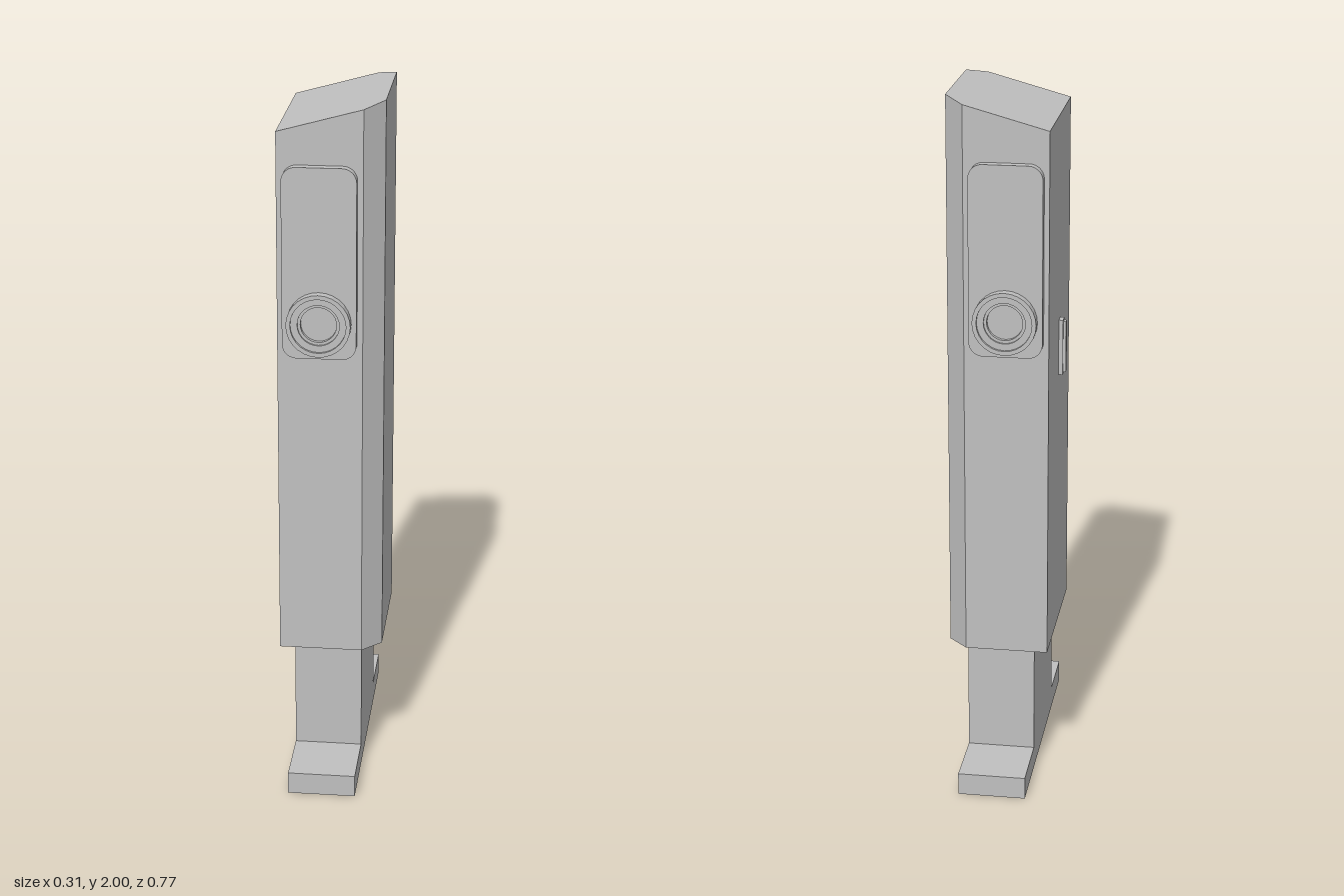
import * as THREE from 'three';

const grey = new THREE.MeshStandardMaterial({ color: 0xc0c0c0 });
grey.name = 'grey';

function mesh(name, geometry) {
  const m = new THREE.Mesh(geometry, grey);
  m.name = name;
  return m;
}

function faceted(geometry) {
  const g = geometry.index ? geometry.toNonIndexed() : geometry;
  g.computeVertexNormals();
  return g;
}

function polygon(points) {
  return new THREE.Shape(points.map(([x, y]) => new THREE.Vector2(x, y)));
}

function box(name, x0, x1, y0, y1, z0, z1) {
  const m = mesh(name, new THREE.BoxGeometry(x1 - x0, y1 - y0, z1 - z0));
  m.position.set((x0 + x1) / 2, (y0 + y1) / 2, (z0 + z1) / 2);
  return m;
}

// Tall housing with two chamfered corners and a sloping top
function housing() {
  const bottom = 0.39;
  const shape = polygon([
    [-0.137, -0.225], [0.1, -0.225], [0.155, -0.17],
    [0.155, 0.17], [0.1, 0.225], [-0.137, 0.225],
  ]);
  const g = new THREE.ExtrudeGeometry(shape, { depth: 1, bevelEnabled: false });
  g.rotateX(-Math.PI / 2);
  const p = g.attributes.position;
  for (let i = 0; i < p.count; i++) {
    const top = 2 - (0.155 - p.getX(i)) * 0.274;
    p.setY(i, p.getY(i) > 0.5 ? top : bottom);
  }
  return mesh('housing', faceted(g));
}

// Foot and stem share one inverted T profile
function stand() {
  const shape = polygon([
    [-0.387, 0], [0.387, 0], [0.387, 0.065], [0.197, 0.065],
    [0.197, 0.39], [-0.197, 0.39], [-0.197, 0.065], [-0.387, 0.065],
  ]);
  const g = new THREE.ExtrudeGeometry(shape, { depth: 0.194, bevelEnabled: false });
  g.rotateY(Math.PI / 2);
  g.translate(-0.096, 0, 0);
  return mesh('stand', g);
}

// Rounded plate with a stepped round socket, facing +z from z = 0
function socketPanel(name) {
  const group = new THREE.Group();
  group.name = name;
  const w = 0.1025, y0 = 1.29, y1 = 1.83, r = 0.04;
  const s = new THREE.Shape();
  s.absarc(w - r, y0 + r, r, -Math.PI / 2, 0);
  s.absarc(w - r, y1 - r, r, 0, Math.PI / 2);
  s.absarc(-w + r, y1 - r, r, Math.PI / 2, Math.PI);
  s.absarc(-w + r, y0 + r, r, Math.PI, Math.PI * 1.5);
  group.add(mesh('panelPlate', new THREE.ExtrudeGeometry(s, {
    depth: 0.026, bevelEnabled: false, curveSegments: 8,
  })));

  const profile = [
    [0.089, 0], [0.089, 0.027], [0.077, 0.027], [0.077, 0.019],
    [0.058, 0.019], [0.058, 0.013], [0.05, 0.013], [0.05, 0.001], [0, 0.001],
  ].map(([x, y]) => new THREE.Vector2(x, y));
  const ring = faceted(new THREE.LatheGeometry(profile, 28));
  ring.rotateX(Math.PI / 2);
  const socket = mesh('socket', ring);
  socket.position.set(0, 1.393, 0.026);
  group.add(socket);
  return group;
}

export function createModel() {
  const model = new THREE.Group();
  model.name = 'chargingPost';
  model.add(housing(), stand());

  // Matching panels on the two narrow sides
  const front = socketPanel('frontPanel');
  front.position.set(-0.018, 0, 0.225);
  const back = socketPanel('backPanel');
  back.position.set(-0.02, 0, -0.225);
  back.rotation.y = Math.PI;
  model.add(front, back);

  // Small slot with a raised bar
  model.add(box('slotFrame', -0.149, -0.137, 1.165, 1.328, -0.009, 0.023));
  model.add(box('slotBar', -0.157, -0.149, 1.172, 1.322, -0.002, 0.017));
  return model;
}
